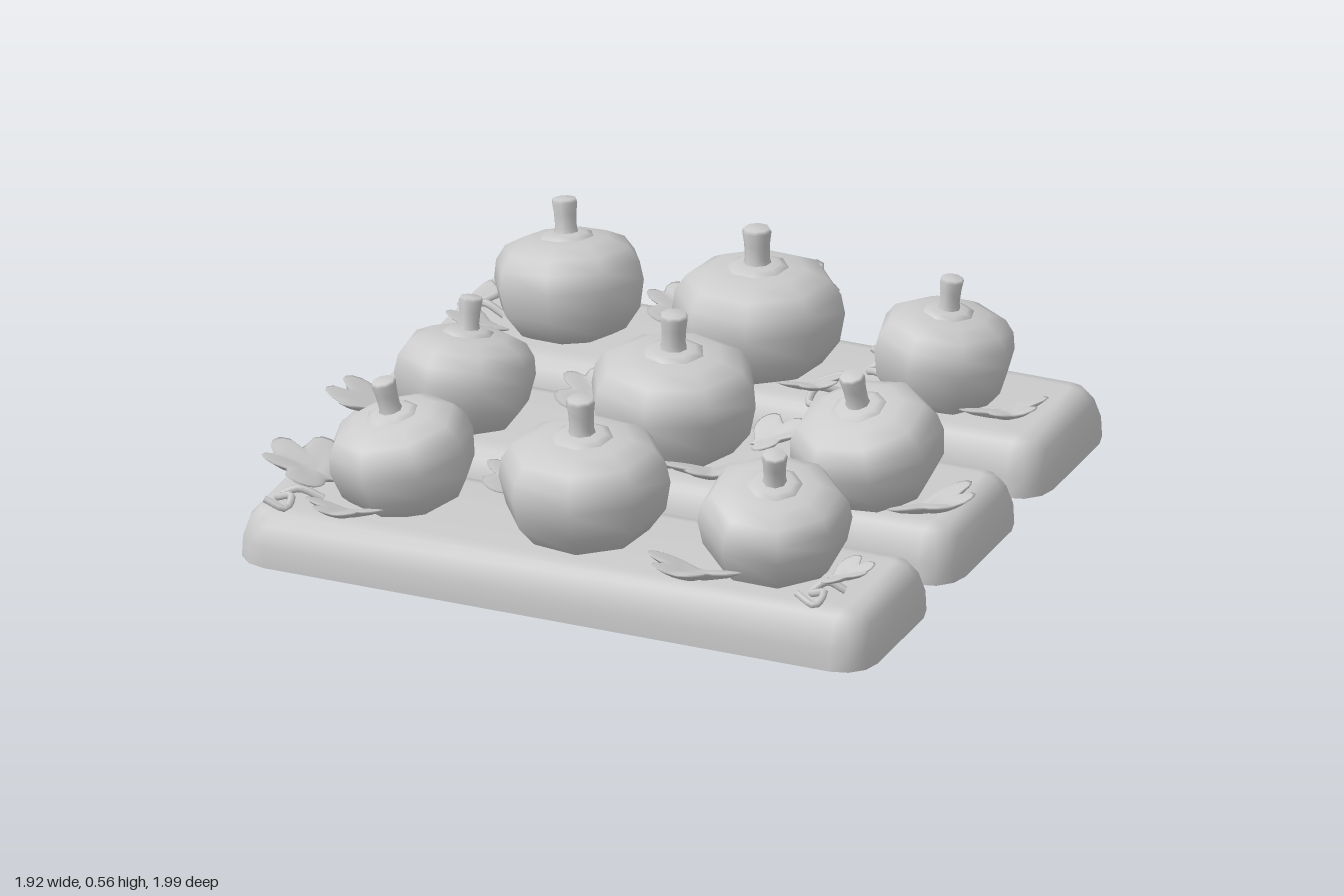
import * as THREE from 'three';
import { mergeVertices } from 'three/addons/utils/BufferGeometryUtils.js';

const DEG = Math.PI / 180;
const V2 = (x, y) => new THREE.Vector2(x, y);
const grey = new THREE.MeshStandardMaterial({ color: 0xcccccc, side: THREE.DoubleSide });
const TOP = 0.155; // height of the beds

function add(parent, name, geometry) {
  const mesh = new THREE.Mesh(geometry, grey);
  mesh.name = name;
  parent.add(mesh);
  return mesh;
}

// Soil bed: a hollow shell, open below, with rounded corners and shoulders
function bedGeometry() {
  const hx = 0.945, hz = 0.26, r = 0.1, steps = 3;
  const profile = [[0, 0], [0.06, 0.003], [0.115, 0.022], [0.146, 0.05], [TOP, 0.09]]; // height, inset
  const pos = [], index = [], n = 4 * (steps + 1);
  for (const [y, inset] of profile) {
    for (let c = 0; c < 4; c++) {
      const sx = c === 0 || c === 3 ? 1 : -1, sz = c < 2 ? 1 : -1;
      for (let k = 0; k <= steps; k++) {
        const a = (c + k / steps) * Math.PI / 2;
        pos.push(sx * (hx - r) + (r - inset) * Math.cos(a), y, sz * (hz - r) + (r - inset) * Math.sin(a));
      }
    }
  }
  const last = profile.length - 1, centre = pos.length / 3;
  pos.push(0, TOP, 0);
  for (let i = 0; i < n; i++) {
    const k = (i + 1) % n;
    for (let j = 0; j < last; j++) {
      const a = j * n + i, b = j * n + k;
      index.push(a, a + n, b, b, a + n, b + n);
    }
    index.push(last * n + i, centre, last * n + k);
  }
  const g = new THREE.BufferGeometry();
  g.setAttribute('position', new THREE.Float32BufferAttribute(pos, 3));
  g.setIndex(index);
  g.computeVertexNormals();
  return g;
}

// Lobed leaf of unit radius pointing to +z: a flattened sphere with a scalloped outline
function leafGeometry() {
  // outline radius every 10 degrees from the tip round to the stalk
  const outline = [0.8, 0.95, 1.02, 1.0, 0.88, 0.62, 0.72, 0.93, 1.02, 1.03, 0.98, 0.88, 0.74, 0.6, 0.48, 0.42, 0.4, 0.42, 0.5];
  let g = new THREE.SphereGeometry(1, 36, 8);
  g.deleteAttribute('uv');
  g.deleteAttribute('normal');
  g = mergeVertices(g, 1e-4);
  const p = g.attributes.position;
  for (let i = 0; i < p.count; i++) {
    const x = p.getX(i), z = p.getZ(i), rad = Math.min(1, Math.hypot(x, z));
    const k = rad < 1e-3 ? 0 : Math.round(Math.abs(Math.atan2(x, z)) / (10 * DEG));
    const s = outline[k];
    const thick = Math.sign(p.getY(i)) * 0.09 * (1 - rad ** 4);
    p.setXYZ(i, x * s, thick + 0.2 * Math.abs(x * s) + 0.06 * rad * rad, z * s);
  }
  g.computeVertexNormals();
  return g;
}

// Pumpkin of unit radius about its own centre, eight-sided
const bodyProfile = [V2(0, -0.73), V2(0.42, -0.73), V2(0.72, -0.6), V2(0.93, -0.33), V2(1, 0.02),
  V2(0.96, 0.25), V2(0.83, 0.43), V2(0.58, 0.54), V2(0.3, 0.57), V2(0, 0.57)];
const collarProfile = [V2(0.38, 0.5), V2(0.36, 0.57), V2(0.27, 0.605), V2(0.15, 0.62), V2(0, 0.62)];
const stemProfile = [V2(0.17, 0.58), V2(0.145, 0.68), V2(0.15, 0.85), V2(0.17, 1.0), V2(0.15, 1.04), V2(0, 1.05)];

function addPumpkin(parent, [x, z, r, turn, leanX, leanZ]) {
  const pumpkin = new THREE.Group();
  pumpkin.name = 'pumpkin';
  add(pumpkin, 'pumpkinBody', new THREE.LatheGeometry(bodyProfile, 8));
  add(pumpkin, 'stemCollar', new THREE.LatheGeometry(collarProfile, 8));
  add(pumpkin, 'stem', new THREE.LatheGeometry(stemProfile, 8));
  const sy = 0.7 * r + 0.072; // smaller fruit are relatively taller
  pumpkin.scale.set(r, sy, r);
  pumpkin.position.set(x, 0.128 + 0.73 * sy, z);
  pumpkin.rotation.y = turn * DEG;
  // lean the whole fruit so its stem moves by leanX, leanZ
  const tilt = new THREE.Group();
  tilt.name = 'leaningPumpkin';
  tilt.position.copy(pumpkin.position);
  pumpkin.position.set(0, 0, 0);
  tilt.rotation.set(Math.atan(leanZ / 0.15), 0, -Math.atan(leanX / 0.15));
  tilt.add(pumpkin);
  parent.add(tilt);
}

// x, z, radius, turn in degrees, lean in x, lean in z
const pumpkins = [
  [-0.58, -0.56, 0.215, 6, -0.02, -0.025], [-0.01, -0.55, 0.24, 15, -0.006, -0.006], [0.54, -0.56, 0.2, 38, 0.012, -0.01],
  [-0.61, 0.095, 0.2, 35, 0, -0.03], [-0.01, 0.04, 0.24, 3, 0, 0], [0.59, 0.09, 0.215, 25, -0.018, 0.032],
  [-0.565, 0.635, 0.207, 37, -0.033, 0.015], [-0.02, 0.635, 0.24, 13, -0.006, 0.005], [0.55, 0.64, 0.213, 25, 0.012, 0.03],
];

// x, z, half size, heading in degrees from +z towards +x
const leaves = [
  [-0.07, -0.85, 0.162, 185], [-0.295, -0.685, 0.115, 240], [-0.775, -0.405, 0.105, -35],
  [0.215, -0.4, 0.1, 40], [0.775, -0.43, 0.125, 42],
  [-0.83, 0.22, 0.14, -40], [-0.285, -0.07, 0.125, 225], [0.245, -0.03, 0.11, 110],
  [0.19, 0.245, 0.138, 25], [0.83, 0.21, 0.14, 65],
  [-0.82, 0.675, 0.145, -85], [-0.64, 0.865, 0.112, 0], [-0.275, 0.5, 0.11, 230],
  [0.405, 0.865, 0.142, -8], [0.775, 0.69, 0.095, 90],
];

// tendril paths as x, z pairs lying on the soil
const tendrils = [
  [[-0.76, -0.53], [-0.82, -0.54], [-0.86, -0.56], [-0.81, -0.61], [-0.81, -0.67], [-0.86, -0.69]],
  [[0.4, -0.53], [0.35, -0.55], [0.3, -0.6], [0.34, -0.64], [0.33, -0.68], [0.27, -0.69]],
  [[0.2, -0.48], [0.27, -0.5], [0.29, -0.45], [0.23, -0.4], [0.23, -0.34], [0.29, -0.31]],
  [[-0.34, 0.22], [-0.34, 0.17], [-0.28, 0.15], [-0.26, 0.21], [-0.22, 0.2], [-0.22, 0.26]],
  [[0.8, 0.73], [0.75, 0.74], [0.72, 0.78], [0.77, 0.81], [0.76, 0.85], [0.7, 0.84]],
  [[-0.75, 0.75], [-0.82, 0.76], [-0.87, 0.79], [-0.82, 0.81], [-0.82, 0.85], [-0.88, 0.86]],
];

export function createModel() {
  const model = new THREE.Group();
  model.name = 'pumpkinPatch';

  const bed = bedGeometry();
  for (const z of [-0.57, 0.04, 0.65]) add(model, 'soilBed', bed).position.set(-0.015, 0, z);

  for (const p of pumpkins) addPumpkin(model, p);

  const leaf = leafGeometry();
  for (const [x, z, s, heading] of leaves) {
    const mesh = add(model, 'leaf', leaf);
    mesh.position.set(x, TOP + 0.27 * s, z);
    mesh.rotation.set(-18 * DEG, heading * DEG, 0, 'YXZ');
    mesh.scale.setScalar(s);
  }

  for (const path of tendrils) {
    const points = path.map(([x, z], i) => new THREE.Vector3(x, TOP + (i % 2 ? 0.03 : 0.008), z));
    add(model, 'tendril', new THREE.TubeGeometry(new THREE.CatmullRomCurve3(points), 20, 0.011, 6));
  }
  return model;
}
